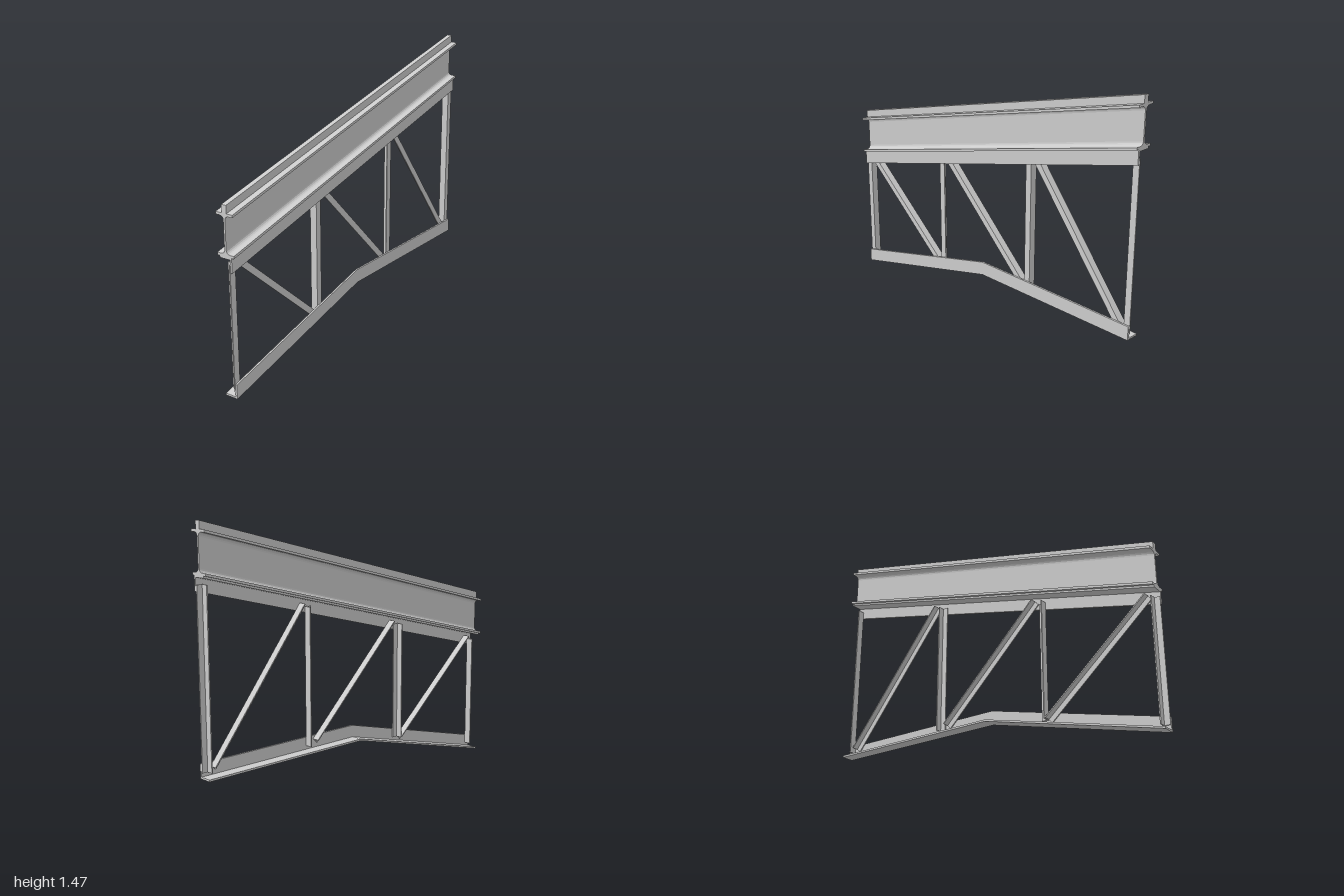
import * as THREE from 'three';

const steel = new THREE.MeshStandardMaterial({ color: 0xcccccc, side: THREE.DoubleSide });
const PITCH = 0.25;

const polygon = (pts) => new THREE.Shape(pts.map(([a, b]) => new THREE.Vector2(a, b)));

// Full-length member: profile points are [z, y] at mid-span, raised along x by rise(x)
function chord(name, profile, rise, steps = 1) {
  const geo = new THREE.ExtrudeGeometry(polygon(profile.map(([z, y]) => [-z, y])),
    { depth: 2, steps, bevelEnabled: false });
  geo.translate(0, 0, -1).rotateY(Math.PI / 2);
  const p = geo.attributes.position;
  for (let i = 0; i < p.count; i++) p.setY(i, p.getY(i) + rise(p.getX(i)));
  geo.computeVertexNormals();
  const mesh = new THREE.Mesh(geo, steel);
  mesh.name = name;
  return mesh;
}

// Web member: an angle section between two points, its corner on the side given by s
function angleBar(name, from, to, width, s) {
  const h = width / 2, t = 0.006, front = 0.024, back = -0.015;
  const profile = [[h, front], [-h, front], [-h, front - t], [h - t, front - t], [h - t, back], [h, back]];
  const a = new THREE.Vector3(...from, 0), b = new THREE.Vector3(...to, 0);
  const dir = b.clone().sub(a), length = dir.length();
  dir.normalize();
  const zAxis = new THREE.Vector3(0, 0, 1);
  const geo = new THREE.ExtrudeGeometry(polygon(profile.map(([x, z]) => [x * s, z])),
    { depth: length, bevelEnabled: false });
  const basis = new THREE.Matrix4().makeBasis(zAxis.clone().cross(dir), zAxis, dir).setPosition(a);
  const mesh = new THREE.Mesh(geo.applyMatrix4(basis), steel);
  mesh.name = name;
  return mesh;
}

// I-section outline with rounded roots between web and flanges
function iProfile(bottom, top, half, flange, web, r) {
  const quarter = [];
  for (let i = 0; i <= 4; i++) {
    const a = (i / 4) * Math.PI / 2;
    quarter.push([web + r - r * Math.sin(a), flange + r - r * Math.cos(a)]);
  }
  const lower = [[half, 0], [half, flange], ...quarter].map(([z, d]) => [z, bottom + d]);
  const right = [...lower, ...lower.map(([z, y]) => [z, top + bottom - y]).reverse()];
  return [...right, ...right.map(([z, y]) => [-z, y]).reverse()];
}

export function createModel() {
  const group = new THREE.Group();
  group.name = 'slopedTruss';
  const pitched = (x) => PITCH * x;
  const bent = (x) => PITCH * Math.min(x, 0);

  // Top rail and main beam
  group.add(chord('topRail', [[-0.013, 1.185], [0.015, 1.185], [0.015, 1.225], [-0.013, 1.225]], pitched));
  group.add(chord('mainBeam', iProfile(0.975, 1.185, 0.05, 0.013, 0.005, 0.02), pitched));

  // Angle under the beam, and the cranked bottom angle
  group.add(chord('upperChord', [[0.036, 0.975], [0.036, 0.9], [0.026, 0.9], [0.026, 0.965],
    [-0.036, 0.965], [-0.036, 0.975]], pitched));
  group.add(chord('lowerChord', [[0.036, 0.255], [0.036, 0.33], [0.026, 0.33], [0.026, 0.265],
    [-0.036, 0.265], [-0.036, 0.255]], bent, 2));

  // Posts, corners alternating
  [[-0.982, -1], [-0.33, 1], [0.322, -1], [0.982, 1]].forEach(([x, s]) =>
    group.add(angleBar('post', [x, 0.285 + bent(x)], [x, 0.935 + pitched(x)], 0.036, s)));

  // Diagonals, lapped behind the chord legs
  [[[-0.36, 0.195], [-0.945, 0.7]], [[0.28, 0.3], [-0.295, 0.865]], [[0.935, 0.298], [0.36, 1.026]]]
    .forEach(([a, b]) => group.add(angleBar('diagonal', a, b, 0.034, -1)));

  group.position.y = -0.005;
  return group;
}
